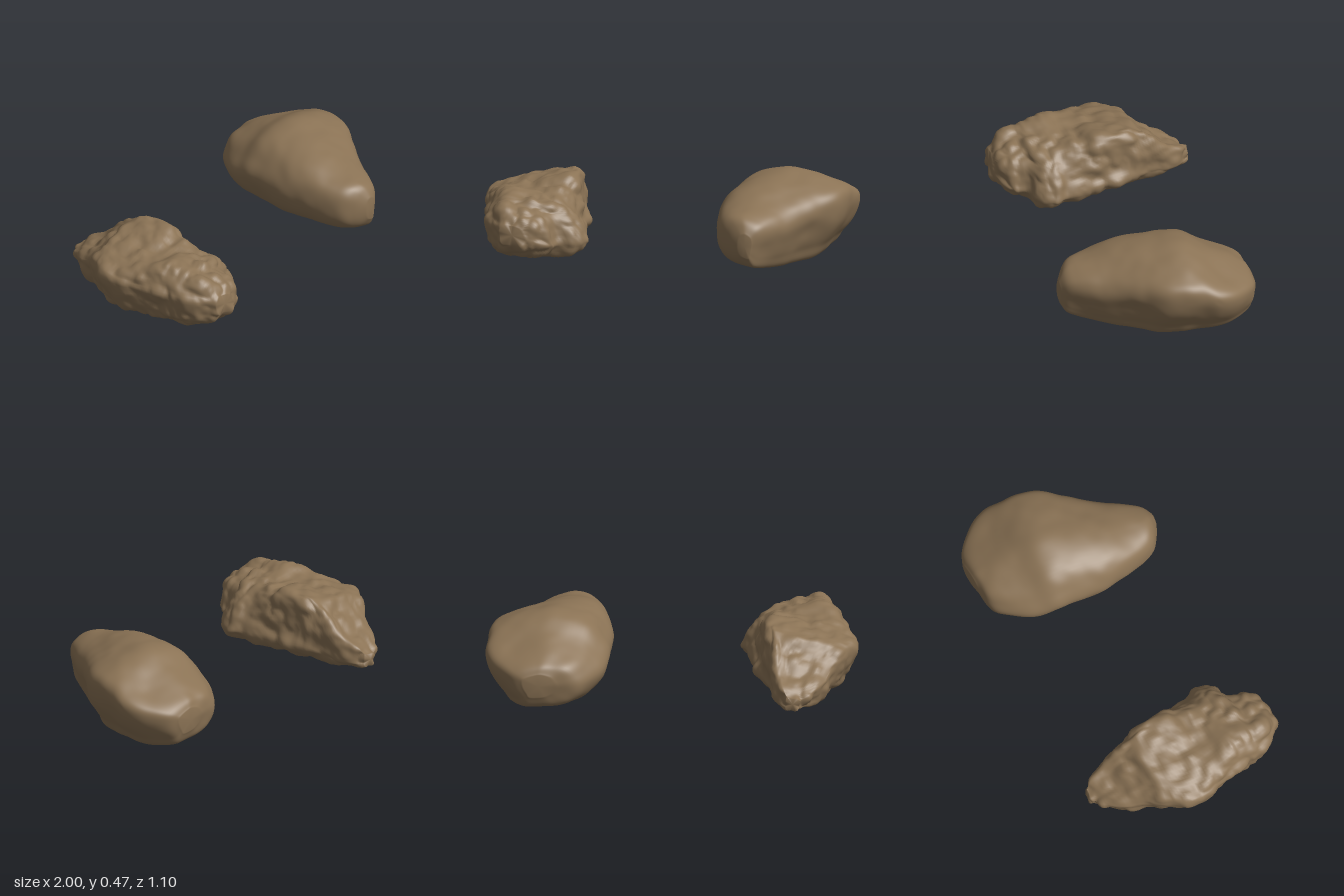
import * as THREE from 'three';

// Seeded lattice noise, smooth in 3D, range -1..1
function hash(x, y, z) {
  const s = Math.sin(x * 127.1 + y * 311.7 + z * 74.7) * 43758.5453;
  return (s - Math.floor(s)) * 2 - 1;
}
function noise(x, y, z) {
  const cell = [x, y, z].map(Math.floor);
  const [u, v, w] = [x, y, z].map((n, i) => {
    const f = n - cell[i];
    return f * f * (3 - 2 * f);
  });
  const mix = THREE.MathUtils.lerp;
  const h = (a, b, c) => hash(cell[0] + a, cell[1] + b, cell[2] + c);
  const layer = (c) => mix(mix(h(0, 0, c), h(1, 0, c), u), mix(h(0, 1, c), h(1, 1, c), u), v);
  return mix(layer(0), layer(1), w);
}

// Loft a closed section (u across, v up, both 0..1) that blends from a back to a front profile
// through stations [z, xMin, xMax, yMin, yMax], then push the surface out by a relief function
function rock(backProfile, frontProfile, stations, relief, rings = 90, sides = 90) {
  const curve = (pts, closed) => new THREE.CatmullRomCurve3(pts, closed, 'catmullrom', 0.5);
  const outline = (profile) => curve(profile.map(([u, v]) => new THREE.Vector3(u, v, 0)), true)
    .getPoints(sides).slice(0, sides);
  const backLoop = outline(backProfile);
  const frontLoop = outline(frontProfile);
  const widths = curve(stations.map((s) => new THREE.Vector3(s[1], s[2], s[0])), false);
  const heights = curve(stations.map((s) => new THREE.Vector3(s[3], s[4], s[0])), false);
  const positions = [];
  const index = [];
  const p = new THREE.Vector3();
  for (let i = 0; i <= rings; i++) {
    const w = widths.getPoint(i / rings);
    const h = heights.getPoint(i / rings);
    const blend = THREE.MathUtils.smoothstep(w.z, -0.1, 0.26);
    for (let j = 0; j < sides; j++) {
      p.lerpVectors(backLoop[j], frontLoop[j], blend);
      positions.push(w.x + (w.y - w.x) * p.x, h.x + (h.y - h.x) * p.y, w.z);
    }
  }
  // End centres
  for (const t of [0, 1]) {
    const w = widths.getPoint(t);
    const h = heights.getPoint(t);
    positions.push((w.x + w.y) / 2, (h.x + h.y) / 2, w.z + (t ? 0.006 : -0.006));
  }
  const back = (rings + 1) * sides;
  for (let j = 0; j < sides; j++) {
    const k = (j + 1) % sides;
    for (let i = 0; i < rings; i++) {
      const a = i * sides;
      const b = a + sides;
      index.push(a + j, a + k, b + k, a + j, b + k, b + j);
    }
    index.push(back, k, j, back + 1, rings * sides + j, rings * sides + k);
  }
  const geometry = new THREE.BufferGeometry();
  geometry.setAttribute('position', new THREE.Float32BufferAttribute(positions, 3));
  geometry.setIndex(index);
  geometry.computeVertexNormals();
  const pos = geometry.attributes.position;
  const n = new THREE.Vector3();
  for (let i = 0; i < pos.count; i++) {
    p.fromBufferAttribute(pos, i);
    n.fromBufferAttribute(geometry.attributes.normal, i);
    p.addScaledVector(n, relief(p.x, p.y, p.z));
    pos.setXYZ(i, THREE.MathUtils.clamp(p.x, -1, 1), Math.max(p.y, 0), p.z);
  }
  geometry.computeVertexNormals();
  return geometry;
}

export function createModel() {
  const group = new THREE.Group();
  const stone = new THREE.MeshStandardMaterial({ color: 0x8b7355 });
  stone.name = 'brown stone';
  const add = (name, geometry) => {
    const mesh = new THREE.Mesh(geometry, stone);
    mesh.name = name;
    group.add(mesh);
  };

  // Smooth boulder: high shoulder at the back, steep narrow front
  add('smoothBoulder', rock(
    [[0, 0.5], [0.1, 0.2], [0.27, 0.06], [0.45, 0.01], [0.77, 0.02], [0.87, 0.2], [0.96, 0.42],
      [1, 0.62], [0.985, 0.78], [0.88, 0.87], [0.64, 0.97], [0.45, 1], [0.2, 0.9], [0.07, 0.72]],
    [[0, 0.52], [0.05, 0.3], [0.2, 0.13], [0.45, 0.04], [0.77, 0], [0.88, 0.18], [0.95, 0.4],
      [1, 0.6], [0.97, 0.75], [0.87, 0.87], [0.66, 0.96], [0.44, 1], [0.2, 0.95], [0.05, 0.79]],
    [
      [-0.535, 0.63, 0.8, 0.13, 0.26], [-0.5, 0.5, 0.87, 0.06, 0.31], [-0.4, 0.41, 0.96, 0.03, 0.36],
      [-0.3, 0.36, 0.995, 0.015, 0.405], [-0.2, 0.335, 0.985, 0.005, 0.455],
      [-0.1, 0.33, 0.975, 0, 0.47], [0, 0.32, 0.945, 0.005, 0.455], [0.1, 0.315, 0.87, 0.01, 0.435],
      [0.2, 0.33, 0.8, 0.02, 0.41], [0.3, 0.355, 0.735, 0.03, 0.375], [0.4, 0.39, 0.67, 0.05, 0.35],
      [0.455, 0.45, 0.63, 0.075, 0.32], [0.49, 0.52, 0.59, 0.13, 0.26],
    ],
    (x, y, z) => 0.009 * noise(x * 6, y * 6, z * 6) + 0.003 * noise(x * 14, y * 14, z * 14),
  ));

  // Craggy boulder: right-hand ridge at the back, flat top at the front, low tail
  add('craggyBoulder', rock(
    [[0, 0.62], [0.04, 0.33], [0.11, 0.12], [0.23, 0.03], [0.58, 0], [0.87, 0.04], [1, 0.22],
      [0.98, 0.42], [0.965, 0.68], [0.94, 0.91], [0.86, 1], [0.72, 0.95], [0.5, 0.87],
      [0.25, 0.82], [0.07, 0.73]],
    [[0, 0.65], [0.04, 0.33], [0.11, 0.12], [0.23, 0.03], [0.58, 0], [0.86, 0.05], [1, 0.22],
      [0.97, 0.4], [0.9, 0.6], [0.82, 0.77], [0.72, 0.87], [0.58, 0.93], [0.42, 0.97],
      [0.2, 1], [0.07, 0.86]],
    [
      [-0.545, -0.69, -0.61, 0.06, 0.14], [-0.5, -0.74, -0.57, 0.045, 0.175],
      [-0.4, -0.825, -0.53, 0.03, 0.23], [-0.3, -0.875, -0.515, 0.02, 0.31],
      [-0.2, -0.935, -0.48, 0.015, 0.39], [-0.1, -0.985, -0.455, 0.01, 0.39],
      [0, -0.995, -0.44, 0.01, 0.38], [0.1, -0.965, -0.42, 0.01, 0.36],
      [0.2, -0.94, -0.385, 0.01, 0.355], [0.26, -0.93, -0.36, 0.01, 0.35],
      [0.32, -0.92, -0.395, 0.015, 0.345], [0.38, -0.9, -0.495, 0.02, 0.335],
      [0.45, -0.865, -0.51, 0.045, 0.315], [0.5, -0.83, -0.56, 0.08, 0.285],
      [0.54, -0.79, -0.65, 0.13, 0.24],
    ],
    (x, y, z) => 0.015 * (Math.abs(noise(x * 9, y * 9, z * 9)) * 2 - 0.7)
      + 0.007 * (Math.abs(noise(x * 18, y * 18, z * 18)) * 2 - 0.7)
      + 0.003 * noise(x * 34, y * 34, z * 34),
  ));
  return group;
}
